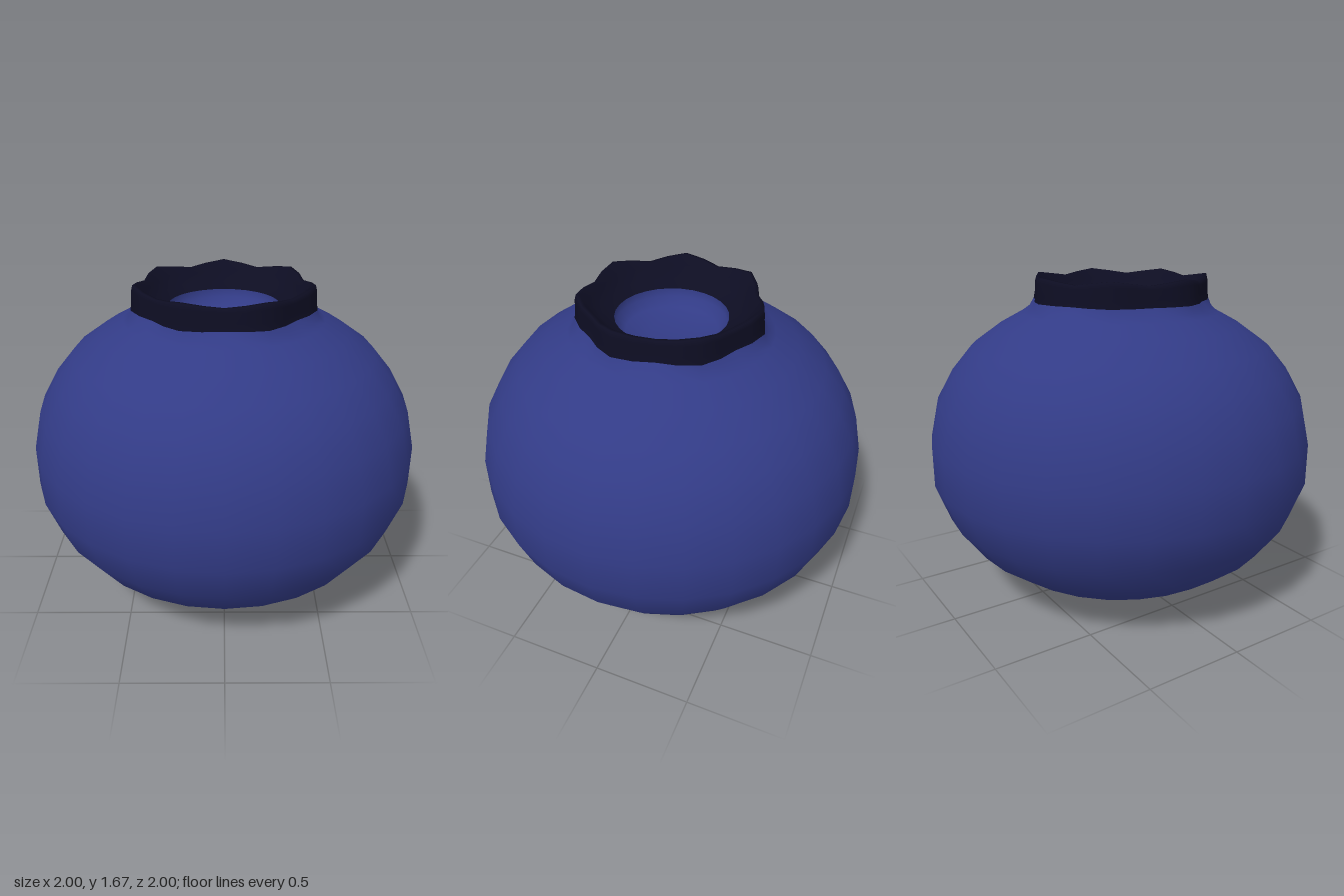
import * as THREE from 'three';
import { mergeVertices } from 'three/addons/utils/BufferGeometryUtils.js';

const SIDES = 28;   // segments around the pot
const LOBES = 7;    // corners of the rim

// Turned surface whose points [radius, y, radial wave, vertical wave] form seven lobes
function lobedLathe(profile) {
  const points = profile.map(([r, y]) => new THREE.Vector2(r, y));
  const geometry = new THREE.LatheGeometry(points, SIDES);
  const pos = geometry.attributes.position;
  for (let i = 0; i < pos.count; i++) {
    const [r, y, waveR = 0, waveY = 0] = profile[i % profile.length];
    const angle = (Math.floor(i / profile.length) % SIDES) * Math.PI * 2 / SIDES;
    const wave = -Math.cos(LOBES * angle);   // one corner points straight back
    const radius = r + waveR * wave;
    pos.setXYZ(i, radius * Math.sin(angle), y + waveY * wave, radius * Math.cos(angle));
  }
  // Weld the seam so the shading stays smooth all round
  geometry.deleteAttribute('uv');
  geometry.deleteAttribute('normal');
  const welded = mergeVertices(geometry, 1e-5);
  welded.computeVertexNormals();
  return welded;
}

export function createModel() {
  const group = new THREE.Group();
  group.name = 'pot';

  const blue = new THREE.MeshStandardMaterial({ color: 0x323b86 });
  blue.name = 'blue glaze';
  const dark = new THREE.MeshStandardMaterial({ color: 0x0d0d22 });
  dark.name = 'dark rim glaze';

  function add(name, profile, material) {
    const mesh = new THREE.Mesh(lobedLathe(profile), material);
    mesh.name = name;
    group.add(mesh);
  }

  // Round belly, closing into the short neck
  add('body', [
    [0, 0], [0.31, 0.035], [0.47, 0.08], [0.65, 0.165], [0.81, 0.285],
    [0.93, 0.45], [1, 0.64], [1, 0.85], [0.955, 1.05], [0.87, 1.2],
    [0.77, 1.32], [0.63, 1.42], [0.51, 1.485], [0.475, 1.51, 0.01], [0.452, 1.547, 0.018],
  ], blue);

  // Wavy seven-cornered rim, sloping inward to the round mouth
  add('rim', [
    [0.452, 1.547, 0.018], [0.445, 1.58, 0.02], [0.442, 1.635, 0.02, 0.008],
    [0.435, 1.658, 0.02, 0.0125], [0.418, 1.658, 0.02, 0.0125],
    [0.395, 1.62, 0.014, 0.004], [0.34, 1.575, 0.006], [0.28, 1.55],
  ], dark);

  // Hollow seen through the mouth
  add('mouthHollow', [
    [0.28, 1.55], [0.275, 1.51], [0.23, 1.47], [0.12, 1.45], [0, 1.445],
  ], blue);

  return group;
}
